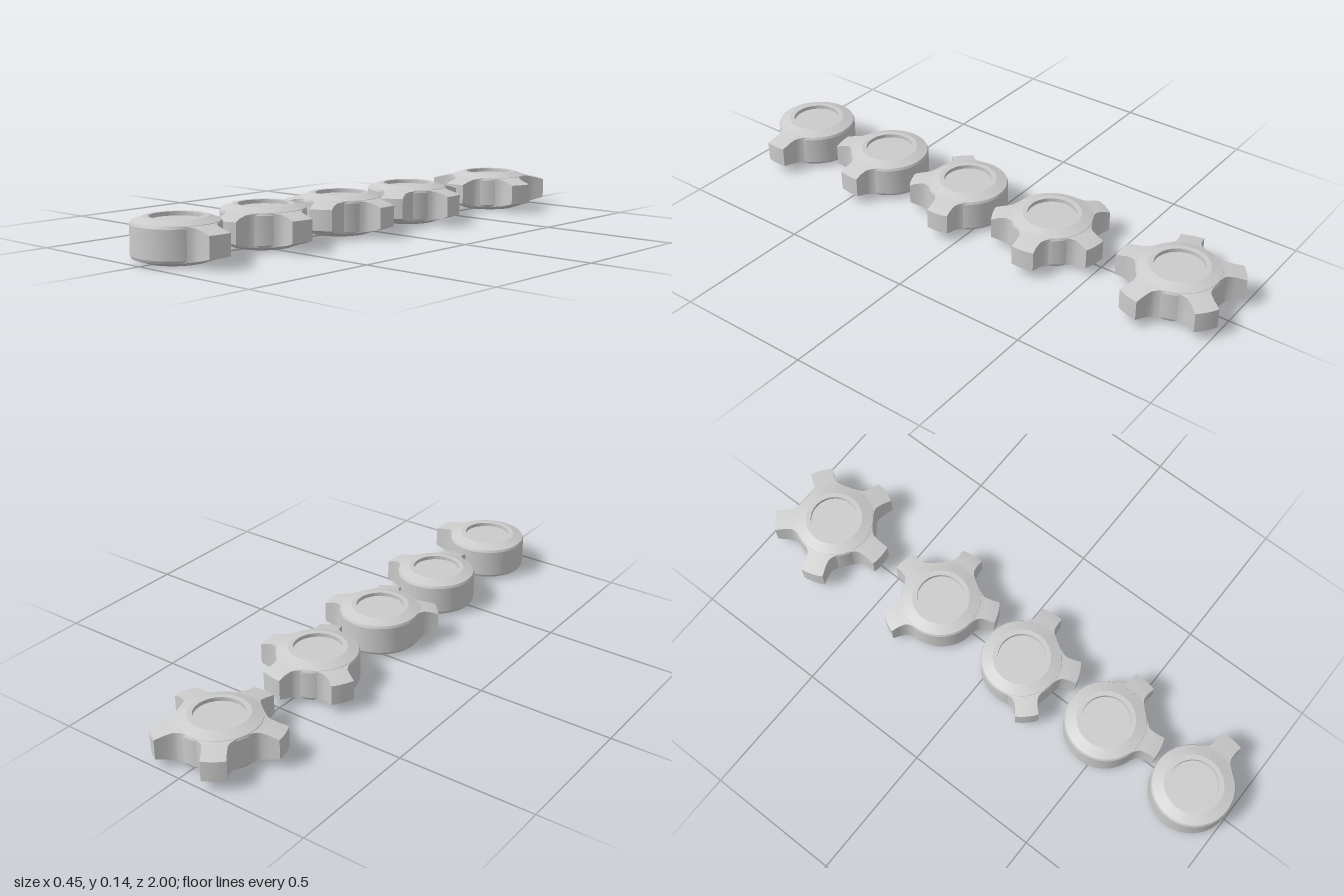
import * as THREE from 'three';
import { toCreasedNormals } from 'three/addons/utils/BufferGeometryUtils.js';

const H = 0.145, MID = H / 2;   // disc height and its middle
const RIM = 0.148;              // disc radius
const DISH = 0.087;             // radius of the shallow round recess

const material = new THREE.MeshStandardMaterial({ color: 0xcccccc });

// Round hub: recessed faces above and below, bevelled rim
function hubGeometry() {
  const upper = [
    [RIM, 0.122], [0.144, 0.131], [0.105, H], [DISH, H], [DISH, H - 0.014], [0, H - 0.014],
  ];
  const lower = upper.map(([r, y]) => [r, H - y]).reverse();
  const profile = [...lower, ...upper].map(([r, y]) => new THREE.Vector2(r, y));
  return toCreasedNormals(new THREE.LatheGeometry(profile, 72), 0.3);
}

// Tooth along +x: flared root, thinning towards an arc-shaped tip
function toothGeometry(tip) {
  // radius, half width, half height
  const rows = [
    [0.145, 0.072, 0.057], [0.149, 0.058, 0.056], [0.155, 0.048, 0.054],
    [0.165, 0.042, 0.052], [0.19, 0.04, 0.046], [tip, 0.042, 0.037],
  ];
  const n = rows.length - 1;
  const geo = new THREE.BoxGeometry(1, 1, 1, n, 1, 6);
  const p = geo.attributes.position;
  for (let i = 0; i < p.count; i++) {
    const [r, w, h] = rows[Math.round((p.getX(i) + 0.5) * n)];
    const z = p.getZ(i) * 2 * w;
    p.setXYZ(i, Math.sqrt(r * r - z * z), MID + p.getY(i) * 2 * h, z);
  }
  return toCreasedNormals(geo, 0.5);
}

// Each gear: position along z, tooth tip radius, tooth angles in degrees from +x towards +z
const GEARS = [
  { z: 0.847, tip: 0.226, angles: [3] },
  { z: 0.468, tip: 0.215, angles: [6, 79] },
  { z: 0.09, tip: 0.215, angles: [-6, 65, 137] },
  { z: -0.285, tip: 0.215, angles: [-79, -6, 65, 209] },
  { z: -0.8, tip: 0.226, angles: [18, 90, 162, 234, 306] },
];

export function createModel() {
  const model = new THREE.Group();
  model.name = 'gearRow';
  const hubGeo = hubGeometry();

  GEARS.forEach(({ z, tip, angles }, i) => {
    const gear = new THREE.Group();
    gear.name = `gear${i + 1}`;
    gear.position.set(-0.002, 0, z);

    const hub = new THREE.Mesh(hubGeo, material);
    hub.name = 'hub';
    gear.add(hub);

    const toothGeo = toothGeometry(tip);
    angles.forEach((deg, k) => {
      const tooth = new THREE.Mesh(toothGeo, material);
      tooth.name = `tooth${k + 1}`;
      tooth.rotation.y = -THREE.MathUtils.degToRad(deg);
      gear.add(tooth);
    });
    model.add(gear);
  });
  return model;
}
